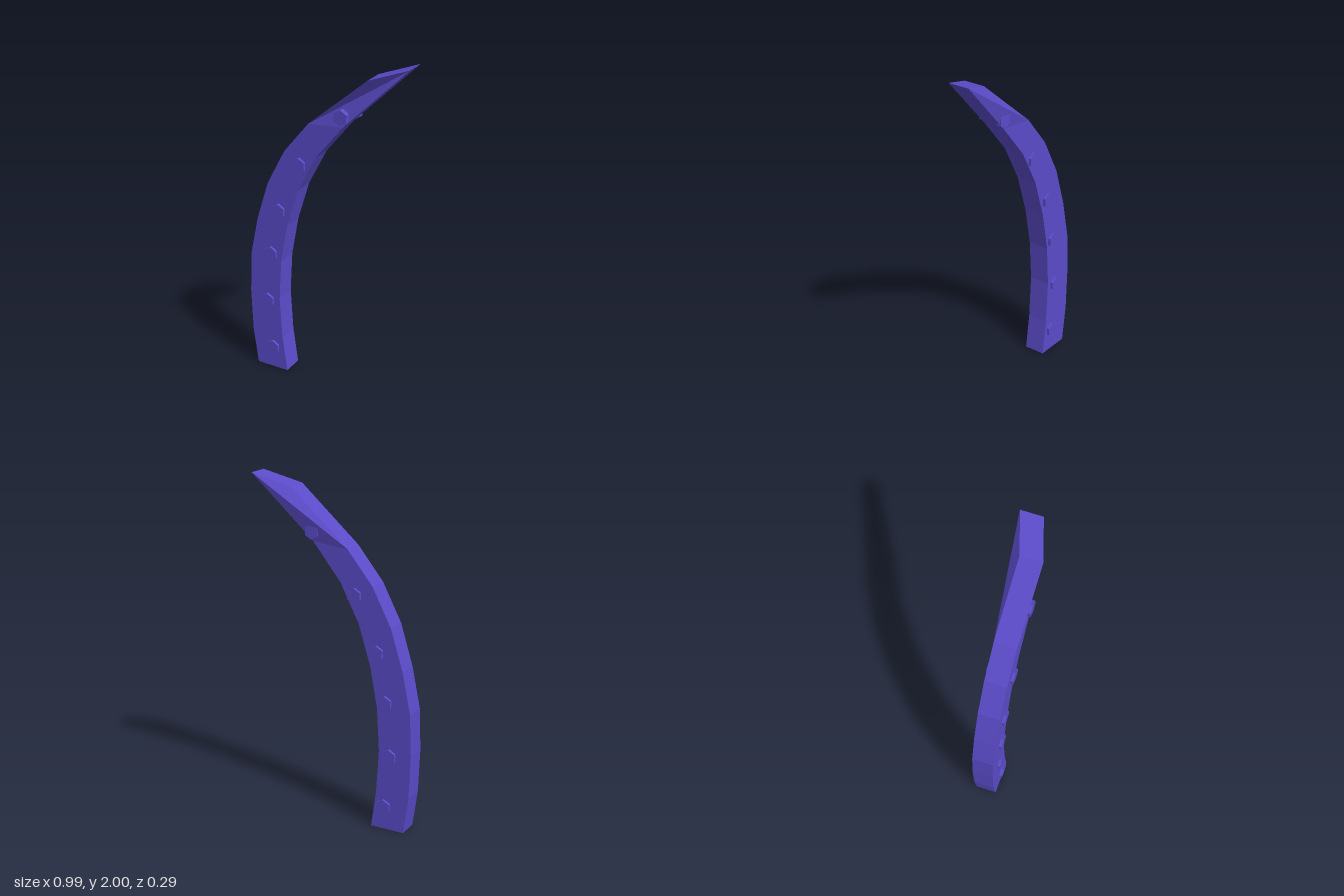
import * as THREE from 'three';

const TILT = 0.105; // slope of the broad faces: z falls as x grows
const frontZ = (x) => 0.14 - TILT * (x + 0.48);
const THICK = new THREE.Vector3(-0.015, 0, -0.125); // front face to back face

// Outer and inner edge of the front face, from foot to tip: [x, y, z?]
const OUTER = [[-0.44, 0], [-0.47, 0.22], [-0.48, 0.48], [-0.47, 0.73], [-0.42, 0.97],
  [-0.345, 1.21], [-0.23, 1.43], [-0.075, 1.62], [0.29, 1.93, 0.07]];
const INNER = [[-0.235, 0], [-0.265, 0.22], [-0.28, 0.48], [-0.265, 0.73], [-0.22, 0.97],
  [-0.145, 1.21], [-0.03, 1.43], [0.14, 1.64], [0.49, 2, -0.022]];

const BOLTS = [[-0.33, 0.14], [-0.36, 0.455], [-0.33, 0.77], [-0.275, 1.055],
  [-0.135, 1.365], [0.13, 1.695]];

function beamGeometry() {
  const point = ([x, y, z = frontZ(x)]) => new THREE.Vector3(x, y, z);
  // Four corners per station, anticlockwise from above
  const rings = OUTER.map((o, i) => {
    const a = point(o), b = point(INNER[i]);
    return [a, b, b.clone().add(THICK), a.clone().add(THICK)];
  });
  const pos = [];
  const tri = (...pts) => pts.forEach((p) => pos.push(p.x, p.y, p.z));
  for (let i = 0; i < rings.length - 1; i++) {
    for (let k = 0; k < 4; k++) {
      const n = (k + 1) % 4;
      const a = rings[i][k], b = rings[i][n], c = rings[i + 1][n], d = rings[i + 1][k];
      // Back face is split along the mirrored diagonal
      if (k === 2) { tri(a, b, d); tri(b, c, d); }
      else { tri(a, b, c); tri(a, c, d); }
    }
  }
  // Foot and slanted end
  const [p, q, r, s] = rings[0];
  tri(p, r, q); tri(p, s, r);
  const [e, f, g, h] = rings[rings.length - 1];
  tri(e, f, g); tri(e, g, h);
  const geo = new THREE.BufferGeometry();
  geo.setAttribute('position', new THREE.Float32BufferAttribute(pos, 3));
  geo.computeVertexNormals();
  return geo;
}

export function createModel() {
  const model = new THREE.Group();
  model.name = 'curvedBeam';
  const material = new THREE.MeshStandardMaterial({ color: 0x5b4bc9, flatShading: true });

  const beam = new THREE.Mesh(beamGeometry(), material);
  beam.name = 'beam';
  model.add(beam);

  // Hexagonal bolt heads on both broad faces
  const hex = new THREE.CylinderGeometry(0.045, 0.045, 0.03, 6).rotateX(Math.PI / 2);
  const bolts = new THREE.Group();
  bolts.name = 'bolts';
  for (const [x, y] of BOLTS) {
    const front = frontZ(x);
    for (const [name, z] of [['frontBolt', front], ['backBolt', front - 0.127]]) {
      const bolt = new THREE.Mesh(hex, material);
      bolt.name = name;
      bolt.position.set(x, y, z);
      bolt.rotation.y = Math.atan(TILT);
      bolts.add(bolt);
    }
  }
  model.add(bolts);
  return model;
}
